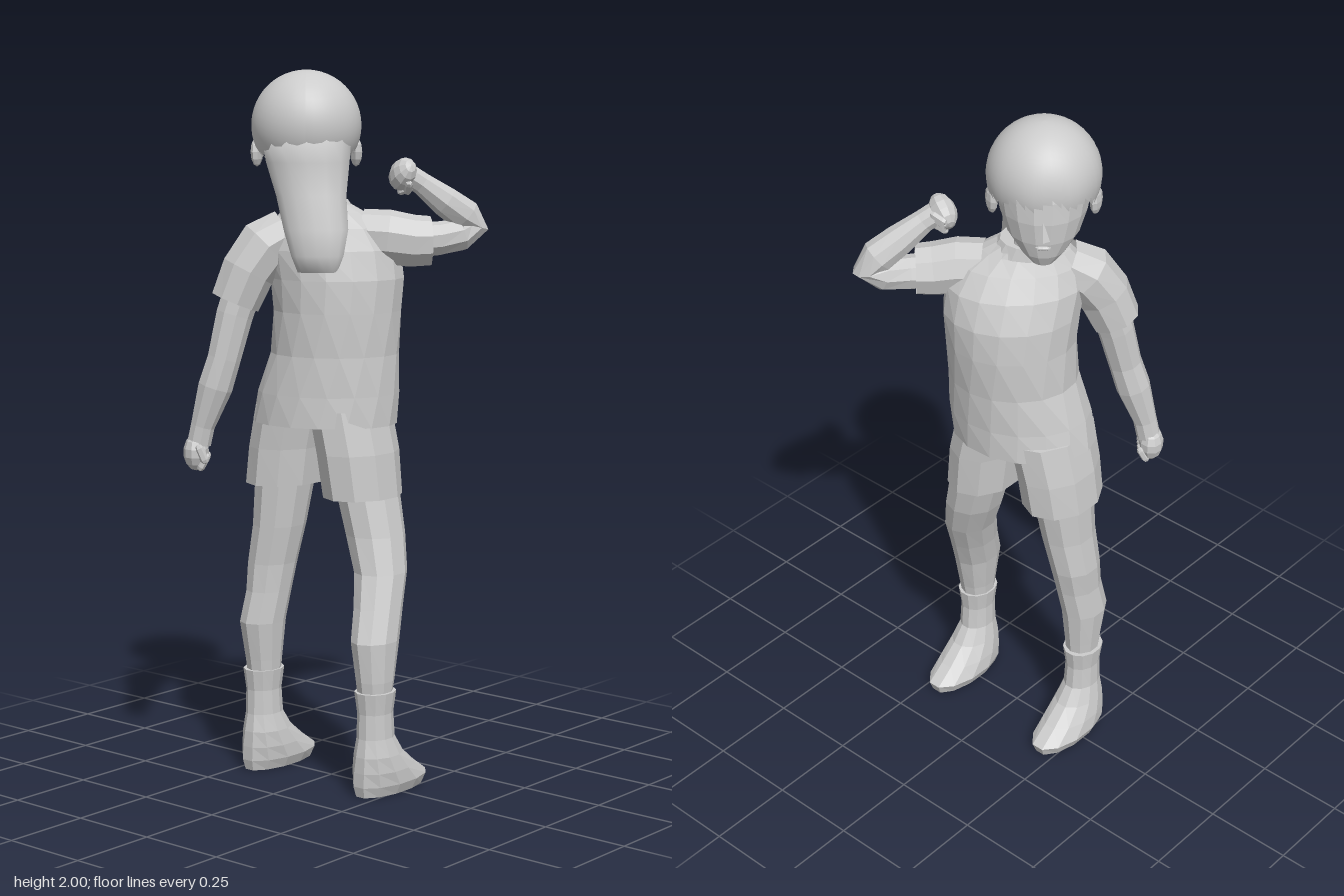
import * as THREE from 'three';

const faceted = new THREE.MeshStandardMaterial({ color: 0xcccccc, flatShading: true, side: THREE.DoubleSide });
const smooth = new THREE.MeshStandardMaterial({ color: 0xcccccc, side: THREE.DoubleSide });
const deg = Math.PI / 180;

// Skin a list of rings (arrays of Vector3), optionally closing the ends
function skin(rings, cap = true) {
  const n = rings[0].length, pos = [], idx = [];
  rings.forEach(r => r.forEach(p => pos.push(p.x, p.y, p.z)));
  for (let j = 0; j < rings.length - 1; j++) {
    for (let i = 0; i < n; i++) {
      const a = j * n + i, b = j * n + (i + 1) % n;
      idx.push(a, b, a + n, b, b + n, a + n);
    }
  }
  if (cap) {
    const top = (rings.length - 1) * n;
    for (let i = 1; i < n - 1; i++) idx.push(0, i + 1, i, top, top + i, top + i + 1);
  }
  const g = new THREE.BufferGeometry();
  g.setAttribute('position', new THREE.Float32BufferAttribute(pos, 3));
  g.setIndex(idx);
  g.computeVertexNormals();
  return g;
}

function add(parent, name, geometry, material = faceted) {
  const m = new THREE.Mesh(geometry, material);
  m.name = name;
  parent.add(m);
  return m;
}

// Level sections, bottom to top: [x, y, z, half width, half depth, turn in degrees]
function loft(parent, name, sections, n = 12, cap = true) {
  const rings = sections.map(([x, y, z, a, b, turn = 0]) => {
    const c = Math.cos(turn * deg), s = Math.sin(turn * deg);
    return Array.from({ length: n }, (_, i) => {
      const t = (i + 0.5) / n * Math.PI * 2, u = a * Math.cos(t), v = b * Math.sin(t);
      return new THREE.Vector3(x + c * u - s * v, y, z - s * u - c * v);
    });
  });
  return add(parent, name, skin(rings, cap));
}

// Round sections square to a path: [x, y, z, radius]
function limb(parent, name, points, n = 9, cap = true) {
  const p = points.map(q => new THREE.Vector3(q[0], q[1], q[2]));
  const ref = new THREE.Vector3(0.64, 0.1, 0.77);
  const rings = p.map((c, j) => {
    const before = p[Math.max(j - 1, 0)], after = p[Math.min(j + 1, p.length - 1)];
    const w = after.clone().sub(before).normalize();
    const u = new THREE.Vector3().crossVectors(ref, w).normalize();
    const v = new THREE.Vector3().crossVectors(w, u);
    return Array.from({ length: n }, (_, i) => {
      const t = i / n * Math.PI * 2, r = points[j][3];
      return c.clone().addScaledVector(u, r * Math.cos(t)).addScaledVector(v, r * Math.sin(t));
    });
  });
  return add(parent, name, skin(rings, cap));
}

// Closed hand with four curled fingers and a thumb, pointing along -y
function fist(parent, name, x, y, z, rx, ry, rz) {
  const g = new THREE.Group();
  g.name = name;
  const palm = add(g, 'palm', new THREE.SphereGeometry(0.045, 10, 7));
  palm.scale.set(0.8, 1.15, 1);
  for (let i = 0; i < 4; i++) {
    const f = add(g, 'finger', new THREE.CapsuleGeometry(0.011, 0.03, 2, 6));
    f.position.set(-0.022, -0.025, -0.03 + i * 0.019);
    f.rotation.z = 0.5;
  }
  const thumb = add(g, 'thumb', new THREE.CapsuleGeometry(0.012, 0.035, 2, 6));
  thumb.position.set(-0.018, 0, -0.038);
  thumb.rotation.z = -0.4;
  g.position.set(x, y, z);
  g.rotation.set(rx, ry, rz);
  parent.add(g);
}

function buildHead() {
  const head = new THREE.Group();
  head.name = 'head';
  head.position.set(-0.065, 0, 0.03);
  head.rotation.y = 40 * deg;

  loft(head, 'face', [
    [0, 1.635, -0.085, 0.03, 0.03], [0, 1.665, -0.065, 0.062, 0.065], [0, 1.71, -0.042, 0.096, 0.097],
    [0, 1.77, -0.025, 0.117, 0.118], [0, 1.83, -0.015, 0.128, 0.123], [0, 1.92, 0, 0.11, 0.11],
  ], 16);
  const nose = add(head, 'nose', new THREE.ConeGeometry(0.018, 0.055, 4));
  nose.position.set(0, 1.755, -0.143);
  nose.rotation.x = 0.2;
  const mouth = add(head, 'mouth', new THREE.SphereGeometry(0.022, 8, 5));
  mouth.scale.set(1, 0.3, 0.4);
  mouth.position.set(0, 1.7, -0.135);
  for (const s of [-1, 1]) {
    const ear = add(head, 'ear', new THREE.SphereGeometry(0.037, 8, 6));
    ear.scale.set(0.4, 1.1, 0.75);
    ear.position.set(s * 0.137, 1.775, -0.012);
    ear.rotation.y = s * 0.4;
  }

  // Hair cap: a sphere whose lower edge rises over the face in a ragged fringe
  const R = 0.152, cap = new THREE.SphereGeometry(R, 40, 16, Math.PI / 2), p = cap.attributes.position;
  for (let i = 0; i < p.count; i++) {
    const x = p.getX(i), z = p.getZ(i), az = Math.atan2(x, -z);
    const front = 0.5 + 0.5 * Math.cos(az);
    const edge = (142 - 42 * front ** 0.8 + 5 * front * Math.sin(az * 9)) / 180;
    const t = Math.acos(THREE.MathUtils.clamp(p.getY(i) / R, -1, 1)) * edge;
    p.setXYZ(i, R * Math.sin(t) * Math.sin(az), R * Math.cos(t), -R * Math.sin(t) * Math.cos(az));
  }
  cap.computeVertexNormals();
  add(head, 'hairCap', cap, smooth).position.y = 1.848;

  loft(head, 'longHair', [
    [0.032, 1.455, 0.15, 0.055, 0.022], [0.032, 1.5, 0.15, 0.073, 0.038], [0.028, 1.57, 0.13, 0.09, 0.05],
    [0.015, 1.66, 0.098, 0.098, 0.063], [0.005, 1.75, 0.06, 0.117, 0.085], [0, 1.85, 0.035, 0.13, 0.112],
  ], 14).material = smooth;
  return head;
}

export function createModel() {
  const body = new THREE.Group();
  body.name = 'standingFigure';
  body.add(buildHead());
  limb(body, 'neck', [[-0.03, 1.56, 0.025, 0.07], [-0.05, 1.65, 0.02, 0.06], [-0.065, 1.73, 0.02, 0.06]]);

  // Shirt twists from the hips up to the shoulders
  loft(body, 'shirt', [
    [-0.025, 1.025, 0, 0.207, 0.163, 20], [-0.015, 1.11, -0.005, 0.2, 0.16, 25], [0, 1.22, -0.015, 0.18, 0.158, 32],
    [0.005, 1.34, -0.02, 0.18, 0.162, 40], [0.005, 1.43, -0.018, 0.188, 0.158, 43], [0, 1.51, -0.005, 0.19, 0.135, 45],
    [-0.005, 1.57, 0.01, 0.165, 0.105, 44], [-0.015, 1.61, 0.018, 0.12, 0.08, 42], [-0.025, 1.64, 0.02, 0.075, 0.068, 40],
  ], 16);
  loft(body, 'collar', [
    [-0.022, 1.61, 0.018, 0.1, 0.082, 40], [-0.028, 1.645, 0.02, 0.082, 0.074, 40], [-0.03, 1.645, 0.02, 0.068, 0.062, 40],
  ], 14, false);

  // Lowered left arm
  limb(body, 'leftSleeve', [
    [-0.085, 1.555, 0.09, 0.07], [-0.125, 1.52, 0.135, 0.08], [-0.155, 1.45, 0.175, 0.076], [-0.18, 1.365, 0.2, 0.07],
  ], 9, false);
  limb(body, 'leftArm', [
    [-0.15, 1.46, 0.17, 0.055], [-0.178, 1.33, 0.205, 0.052], [-0.195, 1.21, 0.23, 0.047],
    [-0.215, 1.13, 0.245, 0.049], [-0.245, 1.02, 0.265, 0.034], [-0.255, 0.97, 0.27, 0.034],
  ]);
  fist(body, 'leftHand', -0.262, 0.945, 0.274, 0, -140 * deg, 0);

  // Raised right arm, bent back to the head
  limb(body, 'rightSleeve', [
    [0.07, 1.545, -0.05, 0.075], [0.13, 1.54, -0.09, 0.078], [0.18, 1.53, -0.135, 0.074], [0.215, 1.53, -0.17, 0.07],
  ], 9, false);
  limb(body, 'rightArm', [
    [0.15, 1.53, -0.11, 0.052], [0.215, 1.535, -0.2, 0.048], [0.25, 1.545, -0.26, 0.046], [0.272, 1.568, -0.293, 0.043],
    [0.257, 1.6, -0.27, 0.047], [0.225, 1.64, -0.22, 0.043], [0.185, 1.69, -0.165, 0.032], [0.165, 1.71, -0.14, 0.032],
  ]);
  fist(body, 'rightHand', 0.152, 1.715, -0.125, 60 * deg, 200 * deg, 60 * deg);

  // Shorts, legs and socked feet
  loft(body, 'leftShortsLeg', [[-0.152, 0.845, 0.02, 0.1, 0.13], [-0.14, 0.95, 0.015, 0.1, 0.135], [-0.115, 1.07, 0.01, 0.1, 0.14]], 10);
  loft(body, 'rightShortsLeg', [[0.098, 0.825, -0.02, 0.098, 0.128], [0.085, 0.95, -0.015, 0.1, 0.135], [0.06, 1.07, -0.01, 0.1, 0.135]], 10);
  loft(body, 'leftLeg', [
    [-0.2, 0.25, 0.062, 0.042, 0.047], [-0.2, 0.33, 0.064, 0.049, 0.057], [-0.2, 0.44, 0.068, 0.06, 0.073],
    [-0.19, 0.53, 0.052, 0.06, 0.072], [-0.186, 0.61, 0.04, 0.066, 0.078], [-0.168, 0.72, 0.03, 0.07, 0.085], [-0.152, 0.9, 0.015, 0.08, 0.1],
  ], 10);
  loft(body, 'rightLeg', [
    [0.21, 0.25, 0.062, 0.042, 0.047], [0.21, 0.33, 0.06, 0.05, 0.06], [0.203, 0.44, 0.052, 0.06, 0.078],
    [0.188, 0.53, 0.02, 0.063, 0.078], [0.17, 0.62, -0.012, 0.07, 0.082], [0.138, 0.72, -0.028, 0.08, 0.09], [0.09, 0.9, -0.035, 0.088, 0.1],
  ], 10);
  for (const [name, x, toe] of [['leftFoot', -0.203, -0.006], ['rightFoot', 0.212, -0.006]]) {
    loft(body, name, [
      [x + toe, 0.005, -0.008, 0.056, 0.132], [x + toe, 0.035, -0.01, 0.07, 0.142], [x + toe / 2, 0.075, 0.02, 0.068, 0.112],
      [x, 0.12, 0.047, 0.06, 0.082], [x, 0.17, 0.06, 0.048, 0.06], [x, 0.24, 0.062, 0.046, 0.056],
      [x, 0.3, 0.062, 0.054, 0.064], [x, 0.3, 0.062, 0.044, 0.05],
    ], 12);
  }
  return body;
}
